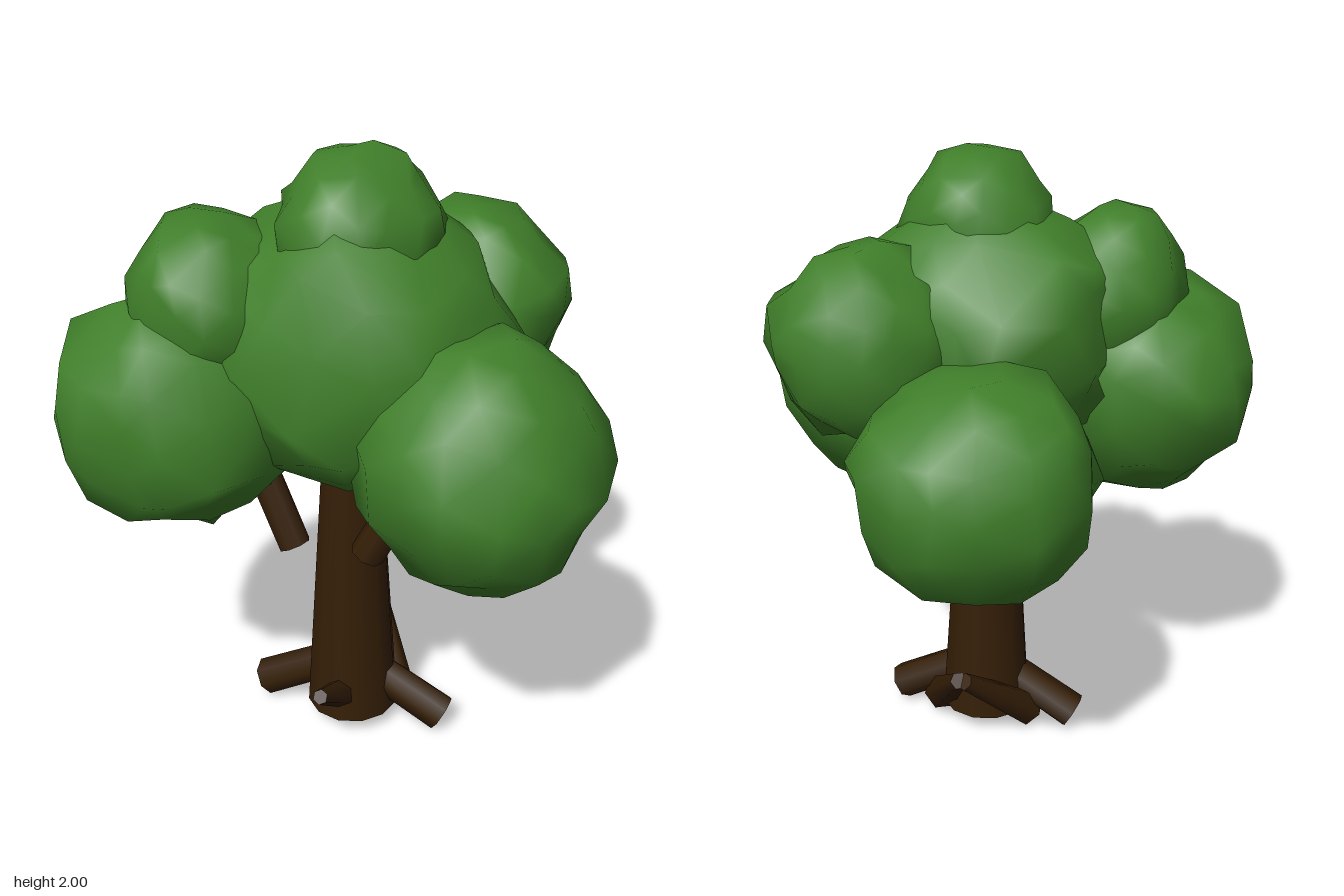
import * as THREE from 'three';
import { mergeVertices } from 'three/addons/utils/BufferGeometryUtils.js';

const leafGreen = new THREE.MeshStandardMaterial({ color: 0x407f2a });
leafGreen.name = 'leafGreen';
const barkBrown = new THREE.MeshStandardMaterial({ color: 0x341e06 });
barkBrown.name = 'barkBrown';

// Small seeded generator for the uneven foliage
function seeded(seed) {
  let s = seed * 7919 + 17;
  return () => (s = (s * 16807) % 2147483647) / 2147483647;
}

// Lumpy low-poly ball, stretched to its radii
function foliage(name, centre, radii, roughness, seed) {
  const ball = new THREE.IcosahedronGeometry(1, 2);
  ball.deleteAttribute('uv');
  ball.deleteAttribute('normal');
  const geo = mergeVertices(ball, 1e-3);
  const rand = seeded(seed);
  const jitter = () => (rand() - 0.5) * roughness;
  const pos = geo.attributes.position;
  for (let i = 0; i < pos.count; i++) {
    pos.setXYZ(
      i,
      (pos.getX(i) + jitter()) * radii[0],
      (pos.getY(i) + jitter()) * radii[1],
      (pos.getZ(i) + jitter()) * radii[2],
    );
  }
  geo.computeVertexNormals();
  const mesh = new THREE.Mesh(geo, leafGreen);
  mesh.name = name;
  mesh.position.set(...centre);
  return mesh;
}

// Tapered limb between two points
function limb(name, from, to, r0, r1, sides) {
  const a = new THREE.Vector3(...from);
  const b = new THREE.Vector3(...to);
  const mesh = new THREE.Mesh(new THREE.CylinderGeometry(r1, r0, a.distanceTo(b), sides), barkBrown);
  mesh.name = name;
  mesh.position.copy(a).add(b).multiplyScalar(0.5);
  mesh.quaternion.setFromUnitVectors(new THREE.Vector3(0, 1, 0), b.sub(a).normalize());
  return mesh;
}

export function createModel() {
  const tree = new THREE.Group();
  tree.name = 'tree';

  // Trunk and branches
  tree.add(limb('trunk', [0, 0.06, 0.125], [0, 1.15, 0.125], 0.155, 0.085, 12));
  tree.add(limb('rightBranch', [-0.1, 0.8, 0.37], [-0.25, 1.1, 0.32], 0.05, 0.05, 8));
  tree.add(limb('leftBranch', [0.11, 0.765, 0.3], [0.28, 1.1, 0.28], 0.055, 0.05, 8));
  tree.add(limb('backBranch', [0.04, 0.73, -0.34], [0.01, 1.05, -0.12], 0.055, 0.05, 8));

  // Roots
  tree.add(limb('frontRoot', [0, 0.055, 0.1], [0, 0.29, 0.445], 0.068, 0.025, 6));
  for (const s of [-1, 1]) {
    tree.add(limb('sideRoot', [s * 0.32, 0.055, 0.125], [s * 0.06, 0.2, 0.125], 0.064, 0.06, 7));
    tree.add(limb('backRoot', [s * 0.16, 0.055, 0.1], [s * 0.01, 0.285, -0.15], 0.065, 0.03, 6));
  }

  // Foliage clumps: centre, radii, roughness
  const clumps = [
    ['centreFoliage', [0.015, 1.42, 0.16], [0.48, 0.46, 0.45], 0.24],
    ['rightFoliage', [-0.46, 1.23, 0.385], [0.365, 0.37, 0.365], 0.18],
    ['leftFoliage', [0.455, 1.175, 0.345], [0.365, 0.385, 0.37], 0.14],
    ['backFoliage', [-0.12, 1.125, -0.37], [0.37, 0.35, 0.365], 0.16],
    ['upperBackFoliage', [0.29, 1.46, -0.19], [0.295, 0.3, 0.29], 0.16],
    ['upperRightFoliage', [-0.34, 1.54, 0.32], [0.25, 0.27, 0.28], 0.18],
    ['topFoliage', [0.04, 1.75, 0.17], [0.24, 0.24, 0.27], 0.18],
  ];
  clumps.forEach((clump, i) => tree.add(foliage(...clump, i + 3)));
  return tree;
}
